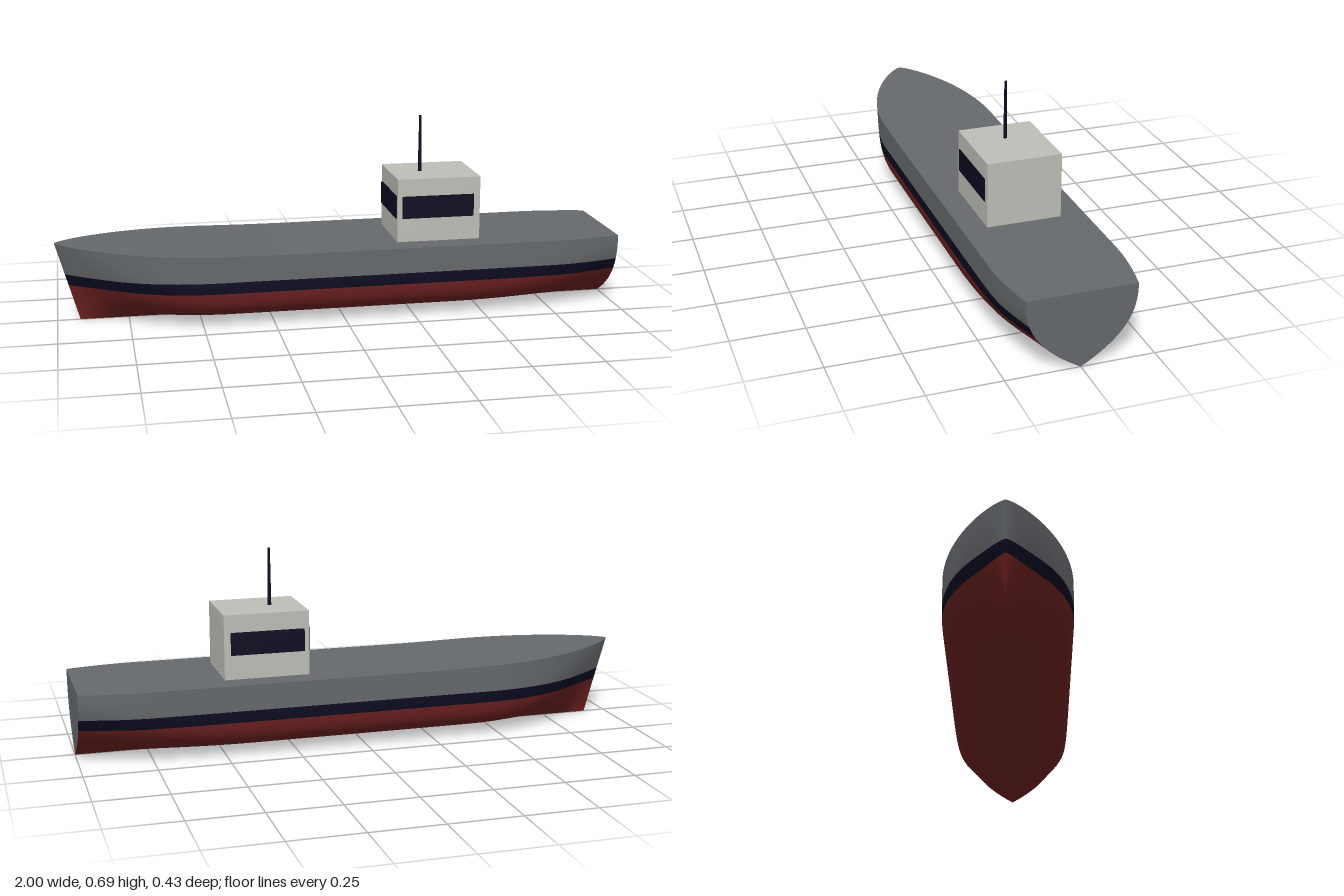
import * as THREE from 'three';

const mat = (name, color, side = THREE.FrontSide) =>
  Object.assign(new THREE.MeshStandardMaterial({ color, side }), { name });

const N = 64; // stations along the hull
const BEAM = 0.215, RAKE = 0.08;
const clamp = THREE.MathUtils.clamp, smooth = THREE.MathUtils.smoothstep, lerp = THREE.MathUtils.lerp;

// Hull lines: deck height, half beam at the deck, and fullness of the section
const deckY = x => 0.26 + 0.023 * clamp((-0.2 - x) / 0.8, 0, 1) ** 1.7;
function halfBeam(x) {
  const u = clamp((x + 1) / 0.56, 0, 1);
  const stern = clamp((x - 0.76) / 0.24, 0, 1);
  return BEAM * Math.sin(Math.PI / 2 * u ** 0.75) - 0.031 * stern ** 1.8;
}
const fullness = x => x < 0
  ? lerp(1.5, 7.8, smooth(x, -1, -0.4))
  : lerp(7.8, 2.45, smooth(x, 0.4, 1.05));

// Point on the port side at station x and height y
function hullPoint(x, y) {
  const t = y / deckY(x);
  const z = halfBeam(x) * (1 - Math.max(0, 1 - t) ** fullness(x));
  const rake = RAKE * (1 - t) * clamp((-0.4 - x) / 0.6, 0, 1);
  return [x + rake, y, z];
}

// Row heights: bottom paint, waterline stripe, topsides
function rowHeights(x) {
  const rows = [];
  for (let k = 0; k <= 12; k++) rows.push(0.13 * (k / 12) ** 1.6);
  rows.push(0.15, 0.17);
  for (let k = 1; k <= 5; k++) rows.push(lerp(0.17, deckY(x), k / 5));
  return rows;
}
const stations = Array.from({ length: N + 1 }, (_, i) => -1 + 2 * (i / N) ** 1.5);

function geometryFrom(pos, index) {
  const g = new THREE.BufferGeometry();
  g.setAttribute('position', new THREE.Float32BufferAttribute(pos, 3));
  g.setIndex(index);
  g.computeVertexNormals();
  return g;
}

// One side of the hull, with a material group per paint band
function hullSide(sign) {
  const pos = [], index = [];
  const R = rowHeights(0).length;
  for (const x of stations)
    for (const y of rowHeights(x)) {
      const p = hullPoint(x, y);
      pos.push(p[0], p[1], p[2] * sign);
    }
  for (let j = 0; j < R - 1; j++)
    for (let i = 0; i < N; i++) {
      const a = i * R + j, b = a + R, c = b + 1, d = a + 1;
      if (sign > 0) index.push(a, b, c, a, c, d);
      else index.push(a, c, b, a, d, c);
    }
  const g = geometryFrom(pos, index);
  const row = N * 6;
  g.addGroup(0, 12 * row, 0);
  g.addGroup(12 * row, 2 * row, 1);
  g.addGroup(14 * row, 5 * row, 2);
  return g;
}

// Flat skin between matching port and starboard points
function skin(points, flip) {
  const pos = [], index = [];
  points.forEach(([x, y, z], i) => {
    pos.push(x, y, z, x, y, -z);
    if (i === points.length - 1) return;
    const a = 2 * i, b = a + 1, c = a + 2, d = a + 3;
    if (flip) index.push(a, d, b, a, c, d);
    else index.push(a, b, d, a, d, c);
  });
  return geometryFrom(pos, index);
}

export function createModel() {
  const model = new THREE.Group();
  model.name = 'ship';
  const grey = mat('hull grey', 0x65696c, THREE.DoubleSide);
  const red = mat('bottom red', 0x6c2020, THREE.DoubleSide);
  const navy = mat('dark navy', 0x0a0a20, THREE.DoubleSide);
  const white = mat('cabin off-white', 0xbebeb7);

  const add = (name, geometry, material, x = 0, y = 0, z = 0) => {
    const m = new THREE.Mesh(geometry, material);
    m.name = name;
    m.position.set(x, y, z);
    model.add(m);
    return m;
  };

  // Hull
  add('hullFront', hullSide(1), [red, navy, grey]);
  add('hullBack', hullSide(-1), [red, navy, grey]);
  add('deck', skin(stations.map(x => hullPoint(x, deckY(x))), true), grey);
  add('transom', skin(rowHeights(1).map(y => hullPoint(1, y)), false), grey);

  // Wheelhouse
  add('cabin', new THREE.BoxGeometry(0.3, 0.229, 0.26), white, 0.345, 0.3725, 0);
  for (const s of [1, -1])
    add('sideWindow', new THREE.BoxGeometry(0.26, 0.08, 0.006), navy, 0.342, 0.385, s * 0.13);
  add('forwardWindow', new THREE.BoxGeometry(0.008, 0.08, 0.236), navy, 0.194, 0.385, 0);

  // Mast
  add('mast', new THREE.CylinderGeometry(0.0045, 0.007, 0.205, 8), navy, 0.305, 0.5875, 0);
  return model;
}
